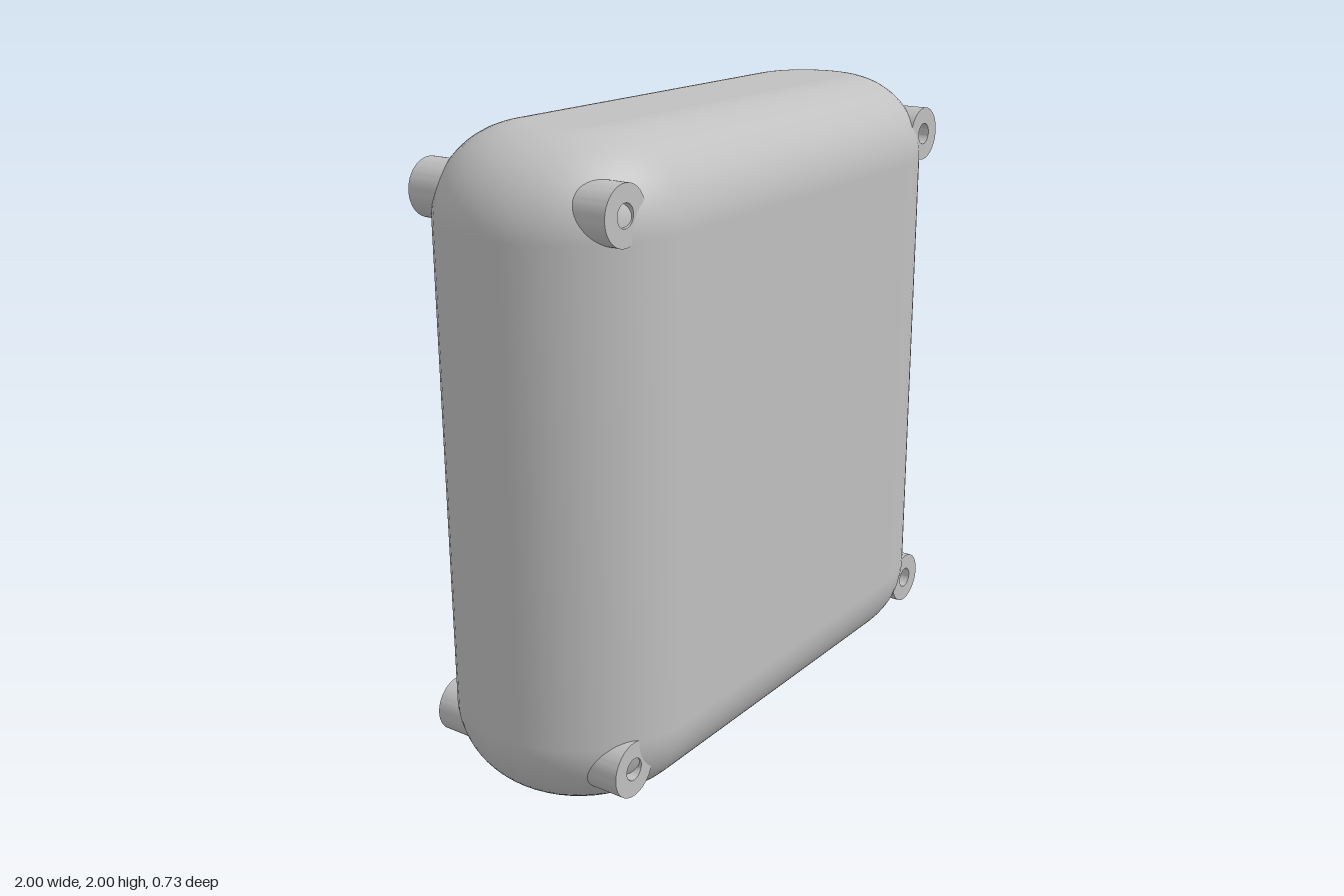
import * as THREE from 'three';
import { toCreasedNormals } from 'three/addons/utils/BufferGeometryUtils.js';

const CX = 0.615;      // centres of the rounded sides
const CZ = -0.02;      // middle of the shell's depth
const RIM_Z = -0.305;  // plane of the open back
const CUT = CZ - RIM_Z;
const FLAT_Y = 0.735;  // half height where the top and bottom fillets start
const ARC = 24;

// One surface of the shell: a stadium prism with filleted top and bottom, inset by t
function makeSkin(t) {
  const side = 0.385 - t, fillet = 0.265 - t;
  const psiCut = Math.acos(1 - (side - CUT) / fillet);
  const row = (psi, s) => ({
    R: side - fillet * (1 - Math.cos(psi)), y: 1 + s * FLAT_Y + fillet * Math.sin(psi), psi,
  });
  const rows = (from, to, s, n) =>
    Array.from({ length: n + 1 }, (_, i) => row(from + (to - from) * i / n, s));
  const h = Math.PI / 2;
  const top = rows(psiCut, h, 1, 14), bottom = rows(-h, -psiCut, -1, 14);
  top.push({ ...top[14], R: 0 });
  bottom.unshift({ ...bottom[0], R: 0 });
  const wall = [...rows(-psiCut, 0, -1, 20), ...rows(0, psiCut, 1, 20)];
  return { wall, top, bottom };
}

// Rows run upwards, columns run from the right side over the front to the left side
function skinGeometry(rows, closed, inward) {
  const pos = [], nor = [], idx = [];
  const f = inward ? -1 : 1;
  const cols = 2 * (ARC + 1) + (closed ? 1 : 0);
  for (const { R, y, psi } of rows) {
    const a0 = closed ? -Math.PI / 2 : -Math.asin(Math.min(1, CUT / R));
    for (let j = 0; j < cols; j++) {
      const k = j % (2 * (ARC + 1));
      const left = k > ARC;
      const u = left ? (2 * ARC + 1 - k) / ARC : k / ARC;
      const a = a0 + (Math.PI / 2 - a0) * u;
      const sx = left ? -1 : 1;
      pos.push(sx * (CX + R * Math.cos(a)), y, CZ + R * Math.sin(a));
      nor.push(f * sx * Math.cos(a) * Math.cos(psi), f * Math.sin(psi), f * Math.sin(a) * Math.cos(psi));
    }
  }
  for (let i = 0; i < rows.length - 1; i++) {
    for (let j = 0; j < cols - 1; j++) {
      const a = i * cols + j, b = a + 1, c = a + cols, d = c + 1;
      if (inward) idx.push(a, b, c, b, d, c);
      else idx.push(a, c, b, b, c, d);
    }
  }
  const g = new THREE.BufferGeometry();
  g.setAttribute('position', new THREE.Float32BufferAttribute(pos, 3));
  g.setAttribute('normal', new THREE.Float32BufferAttribute(nor, 3));
  g.setIndex(idx);
  return g;
}

// Outline of a skin where the back plane cuts it
function rimOutline(rows) {
  const right = rows.map(({ R, y }) =>
    new THREE.Vector2(CX + Math.sqrt(Math.max(0, R * R - CUT * CUT)), y));
  const left = right.map((p) => new THREE.Vector2(-p.x, p.y)).reverse();
  return [...right, ...left];
}

export function createModel() {
  const model = new THREE.Group();
  model.name = 'enclosure';
  const grey = new THREE.MeshStandardMaterial({ color: 0xc0c0c0 });
  grey.name = 'grey plastic';

  const add = (name, geometry, parent) => {
    const mesh = new THREE.Mesh(geometry, grey);
    mesh.name = name;
    parent.add(mesh);
    return mesh;
  };

  // Hollow shell, open at the back
  const shell = new THREE.Group();
  shell.name = 'shell';
  model.add(shell);
  const outer = makeSkin(0), inner = makeSkin(0.04);
  [[outer, 'outer', false], [inner, 'inner', true]].forEach(([skin, label, inward]) => {
    add(label + 'Wall', skinGeometry(skin.wall, false, inward), shell);
    add(label + 'Top', skinGeometry(skin.top, true, inward), shell);
    add(label + 'Bottom', skinGeometry(skin.bottom, true, inward), shell);
  });

  // Flat rim around the opening
  const rimShape = new THREE.Shape(rimOutline(outer.wall));
  rimShape.holes.push(new THREE.Path(rimOutline(inner.wall)));
  const rim = new THREE.ShapeGeometry(rimShape);
  rim.rotateY(Math.PI);
  rim.translate(0, 0, RIM_Z);
  add('rim', rim, shell);

  // Screw tubes running through the four corners
  const ring = new THREE.Shape().absarc(0, 0, 0.086, 0, Math.PI * 2, false);
  ring.holes.push(new THREE.Path().absarc(0, 0, 0.034, 0, Math.PI * 2, true));
  const tube = toCreasedNormals(
    new THREE.ExtrudeGeometry(ring, { depth: 0.69, bevelEnabled: false, curveSegments: 32 }), 0.6);
  for (const x of [-0.81, 0.81]) {
    for (const y of [0.19, 1.81]) {
      const name = (y > 1 ? 'upper' : 'lower') + (x > 0 ? 'Left' : 'Right') + 'ScrewTube';
      add(name, tube, model).position.set(x, y, -0.365);
    }
  }
  return model;
}
